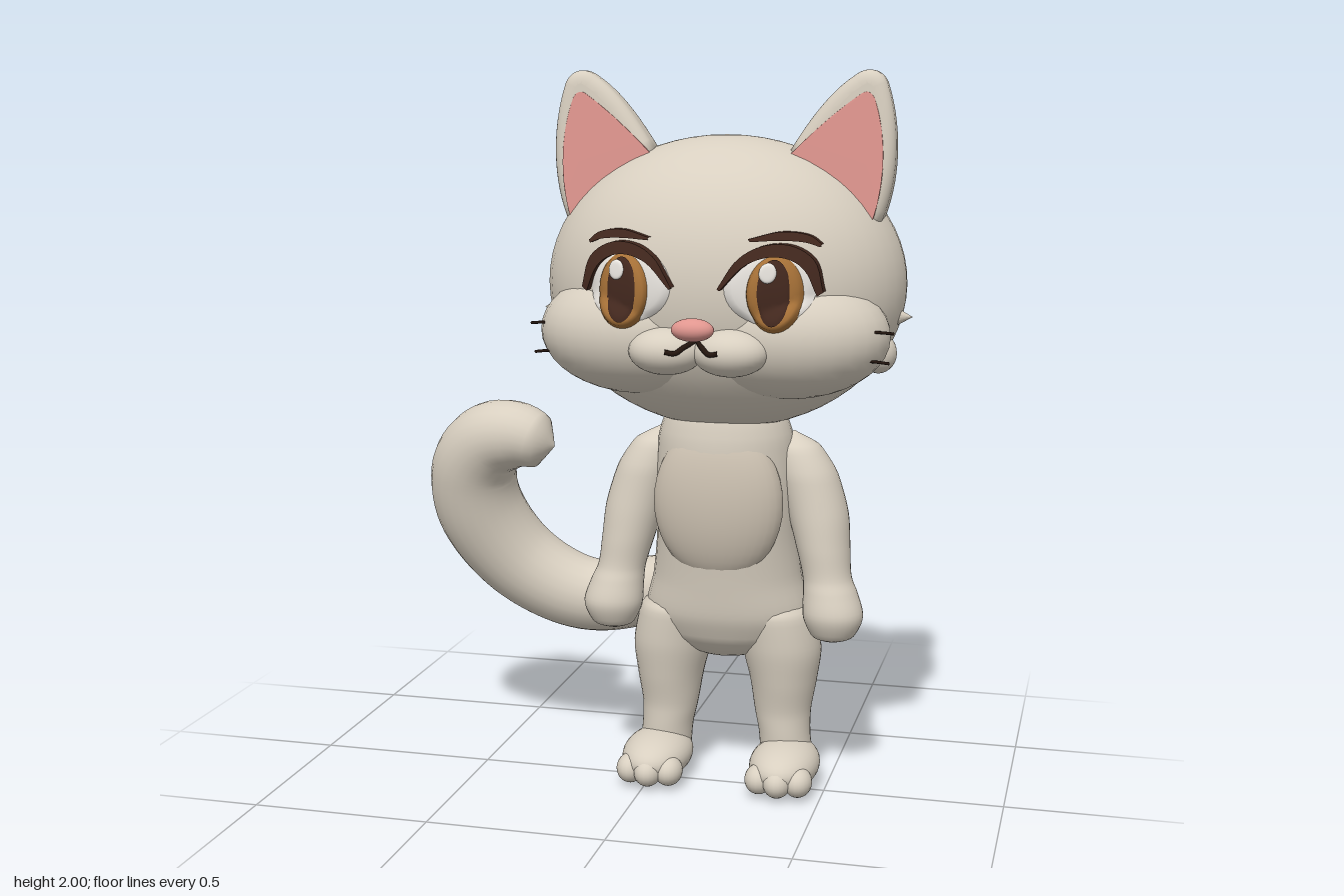
import * as THREE from 'three';
import { mergeVertices, toCreasedNormals } from 'three/addons/utils/BufferGeometryUtils.js';

const material = (name, color, side = THREE.FrontSide) => {
  const m = new THREE.MeshStandardMaterial({ color, side });
  m.name = name;
  return m;
};

// Grid surface from a point rule; columns may wrap into a closed ring
function grid(rows, cols, rule) {
  const pos = [], idx = [];
  for (let i = 0; i <= rows; i++)
    for (let j = 0; j < cols; j++) pos.push(...rule(i / rows, j / cols, j));
  for (let i = 0; i < rows; i++)
    for (let j = 0; j < cols; j++) {
      const k = (j + 1) % cols, a = i * cols, b = a + cols;
      idx.push(a + j, a + k, b + j, a + k, b + k, b + j);
    }
  const g = new THREE.BufferGeometry();
  g.setAttribute('position', new THREE.Float32BufferAttribute(pos, 3));
  g.setIndex(idx);
  g.computeVertexNormals();
  return g;
}

const spline = pts => new THREE.CatmullRomCurve3(pts.map(p => new THREE.Vector3(...p)));

// Stack of ellipses, bottom to top: [y, x, z, radiusX, radiusZ]
function loft(rows) {
  const centre = spline(rows.map(r => [r[1], r[0], r[2]]));
  const size = spline(rows.map(r => [r[3], r[4], 0]));
  return grid(rows.length * 5, 32, (t, u) => {
    const c = centre.getPoint(t), s = size.getPoint(t), a = u * Math.PI * 2;
    return [c.x + Math.max(s.x, 0) * Math.cos(a), c.y, c.z - Math.max(s.y, 0) * Math.sin(a)];
  });
}

function ellipsoid([x, y, z, rx, ry, rz], w = 32, h = 20) {
  return new THREE.SphereGeometry(1, w, h).scale(rx, ry, rz).translate(x, y, z);
}

// Mirrored copy across x = 0 with corner order reversed
function mirror(geo) {
  const g = geo.index ? geo.clone() : mergeVertices(geo);
  const p = g.attributes.position, n = g.attributes.normal, a = g.index.array;
  for (let i = 0; i < p.count; i++) {
    p.setX(i, -p.getX(i));
    n.setX(i, -n.getX(i));
  }
  for (let i = 0; i < a.length; i += 3) [a[i], a[i + 1]] = [a[i + 1], a[i]];
  return g;
}

// Face volumes: x, y, z, then radii
const HEAD = [0, 1.43, -0.04, 0.495, 0.4, 0.36];
const CHEEK = [0.2, 1.31, 0.12, 0.275, 0.17, 0.2];
const MUZZLE = [0.085, 1.28, 0.3, 0.1, 0.062, 0.078];

// Front height of the face at a point
function faceZ(x, y) {
  return Math.max(...[HEAD, CHEEK, MUZZLE].map(([cx, cy, cz, rx, ry, rz]) => {
    const d = 1 - ((Math.abs(x) - cx) / rx) ** 2 - ((y - cy) / ry) ** 2;
    return d > 0 ? cz + rz * Math.sqrt(d) : -1;
  }));
}

// Domed oval that follows the face
const disc = (cx, cy, rx, ry, base, height) => grid(10, 36, (t, u) => {
  const r = 1 - t, a = u * Math.PI * 2;
  const x = cx + rx * r * Math.cos(a), y = cy + ry * r * Math.sin(a);
  return [x, y, faceZ(x, y) + base + height * Math.sqrt(1 - r ** 6)];
});

// Raised strip on the face between an upper and a lower line
function strip(upper, lower, raise) {
  const up = spline(upper.map(p => [...p, 0])), low = spline(lower.map(p => [...p, 0]));
  return toCreasedNormals(grid(24, 4, (t, u, j) => {
    const p = (j < 2 ? low : up).getPoint(t);
    return [p.x, p.y, faceZ(p.x, p.y) + (j === 1 || j === 2 ? raise : -0.01)];
  }), 0.8);
}

// Ear slab, thinner towards the tip
function taper(g) {
  const p = g.attributes.position;
  for (let i = 0; i < p.count; i++) p.setZ(i, p.getZ(i) * (1 - (p.getY(i) - 1.6) * 1.1));
  g.deleteAttribute('normal');
  g.deleteAttribute('uv');
  const m = mergeVertices(g);
  m.computeVertexNormals();
  return m;
}

export function createModel() {
  const fur = material('cream fur', 0xd8cfc0);
  const bellyFur = material('belly fur', 0xcbc0b0);
  const pink = material('pink', 0xe0968f);
  const white = material('eye white', 0xece8e2);
  const amber = material('amber iris', 0xa87238);
  const brown = material('dark brown', 0x43281e, THREE.DoubleSide);
  const black = material('whisker black', 0x24160f);

  const model = new THREE.Group();
  model.name = 'cat';
  const cat = new THREE.Group();
  cat.name = 'catBody';
  cat.position.x = 0.2;
  model.add(cat);
  const add = (name, geo, mat) => {
    const m = new THREE.Mesh(geo, mat);
    m.name = name;
    cat.add(m);
  };
  const pair = (name, geo, mat) => {
    add(name + 'Left', geo, mat);
    add(name + 'Right', mirror(geo), mat);
  };

  // Head
  add('head', ellipsoid(HEAD, 48, 32), fur);
  pair('cheek', ellipsoid(CHEEK), fur);
  pair('muzzle', ellipsoid(MUZZLE), fur);
  add('nose', ellipsoid([0, 1.345, 0.365, 0.056, 0.03, 0.035]), pink);
  pair('cheekTuft', ellipsoid([0.425, 1.25, -0.02, 0.05, 0.055, 0.055], 20, 14), fur);
  pair('cheekPoint', new THREE.ConeGeometry(0.04, 0.07, 16).rotateZ(-Math.PI / 2).translate(0.48, 1.35, -0.02), fur);

  // Ears
  const ear = new THREE.Shape();
  ear.moveTo(0.4, 1.62);
  ear.bezierCurveTo(0.44, 1.72, 0.44, 1.85, 0.405, 1.955);
  ear.quadraticCurveTo(0.395, 1.975, 0.37, 1.955);
  ear.quadraticCurveTo(0.3, 1.91, 0.22, 1.78);
  ear.lineTo(0.27, 1.62);
  pair('ear', taper(new THREE.ExtrudeGeometry(ear, {
    depth: 0.05, bevelSize: 0.035, bevelThickness: 0.04, bevelSegments: 6, curveSegments: 14,
  }).translate(0, 0, -0.025)), fur);
  const inner = new THREE.Shape();
  inner.moveTo(0.41, 1.6);
  inner.bezierCurveTo(0.45, 1.72, 0.44, 1.84, 0.41, 1.925);
  inner.quadraticCurveTo(0.395, 1.955, 0.37, 1.935);
  inner.quadraticCurveTo(0.29, 1.88, 0.19, 1.78);
  inner.lineTo(0.27, 1.62);
  pair('innerEar', taper(new THREE.ExtrudeGeometry(inner, {
    depth: 0.007, bevelEnabled: false, curveSegments: 14,
  }).translate(0, 0, 0.062)), pink);

  // Eyes
  for (const [side, s] of [['Left', 1], ['Right', -1]]) {
    add('eyeWhite' + side, disc(s * 0.185, 1.45, 0.115, 0.095, 0.002, 0.014), white);
    add('iris' + side, disc(s * 0.2, 1.437, 0.075, 0.1, 0, 0.036), amber);
    add('pupil' + side, disc(s * 0.2, 1.44, 0.042, 0.084, 0.034, 0.005), brown);
    add('eyeGlint' + side, disc(s * 0.2 - 0.014, 1.49, 0.022, 0.026, 0.038, 0.006), white);
  }
  pair('eyelash', strip(
    [[0.32, 1.44], [0.297, 1.52], [0.24, 1.558], [0.17, 1.558], [0.11, 1.525], [0.06, 1.45]],
    [[0.305, 1.43], [0.275, 1.495], [0.24, 1.522], [0.19, 1.53], [0.13, 1.51], [0.066, 1.445]], 0.038), brown);
  pair('eyebrow', strip(
    [[0.31, 1.56], [0.28, 1.582], [0.21, 1.592], [0.13, 1.574]],
    [[0.305, 1.553], [0.27, 1.565], [0.21, 1.57], [0.135, 1.567]], 0.025), brown);

  // Mouth and whiskers
  const line = (pts, r) => new THREE.TubeGeometry(spline(pts), 16, r, 8);
  pair('mouth', line([[0, 1.312], [0.025, 1.298], [0.045, 1.284], [0.07, 1.288]]
    .map(([x, y]) => [x, y, faceZ(x, y) + 0.002]), 0.007), black);
  pair('upperWhisker', line([[0.405, 1.333, 0.215], [0.45, 1.333, 0.2], [0.49, 1.328, 0.18]], 0.004), black);
  pair('lowerWhisker', line([[0.38, 1.255, 0.22], [0.43, 1.257, 0.2], [0.48, 1.25, 0.18]], 0.004), black);

  // Torso and belly
  add('torso', loft([
    [0.35, 0, -0.1, 0.001, 0.001], [0.375, 0, -0.1, 0.1, 0.09], [0.43, 0, -0.1, 0.21, 0.145],
    [0.5, 0, -0.095, 0.235, 0.17], [0.6, 0, -0.09, 0.212, 0.18], [0.72, 0, -0.08, 0.2, 0.185],
    [0.86, 0, -0.065, 0.2, 0.178], [1.0, 0, -0.055, 0.19, 0.165], [1.08, 0, -0.05, 0.16, 0.14],
    [1.12, 0, -0.05, 0.001, 0.001],
  ]), fur);
  add('belly', ellipsoid([0, 0.83, 0.045, 0.182, 0.222, 0.088]), bellyFur);

  // Arms with mitten hands
  pair('arm', loft([
    [0.435, 0.312, -0.01, 0.001, 0.001], [0.455, 0.315, -0.01, 0.058, 0.055], [0.52, 0.315, -0.01, 0.084, 0.08],
    [0.58, 0.305, -0.02, 0.075, 0.075], [0.62, 0.295, -0.028, 0.068, 0.07], [0.7, 0.28, -0.045, 0.075, 0.083],
    [0.8, 0.26, -0.06, 0.085, 0.09], [0.9, 0.23, -0.065, 0.085, 0.085], [0.98, 0.2, -0.065, 0.065, 0.06],
    [1.02, 0.19, -0.07, 0.001, 0.001],
  ]), fur);

  // Legs and feet
  pair('leg', loft([
    [0.02, 0.18, -0.08, 0.001, 0.001], [0.05, 0.18, -0.08, 0.075, 0.075], [0.14, 0.172, -0.08, 0.073, 0.08],
    [0.21, 0.165, -0.085, 0.08, 0.086], [0.3, 0.165, -0.09, 0.095, 0.108], [0.4, 0.158, -0.09, 0.112, 0.125],
    [0.5, 0.14, -0.09, 0.11, 0.13], [0.58, 0.12, -0.09, 0.001, 0.001],
  ]), fur);
  pair('foot', ellipsoid([0.185, 0.073, -0.012, 0.098, 0.068, 0.153]), fur);
  for (const [name, dx, z] of [['outerToe', 0.055, 0.085], ['middleToe', 0, 0.105], ['innerToe', -0.055, 0.085]])
    pair(name, ellipsoid([0.185 + dx, 0.055, z, 0.04, 0.042, 0.05], 20, 14), fur);

  // Curling tail: a tube whose radius changes along its path
  const tail = [
    [0, 0.66, -0.25, 0.02], [-0.1, 0.57, -0.27, 0.065], [-0.28, 0.48, -0.28, 0.1], [-0.48, 0.455, -0.28, 0.11],
    [-0.67, 0.55, -0.255, 0.122], [-0.78, 0.72, -0.2, 0.13], [-0.78, 0.86, -0.155, 0.125],
    [-0.71, 0.945, -0.115, 0.112], [-0.62, 0.965, -0.09, 0.097], [-0.55, 0.95, -0.08, 0.075], [-0.51, 0.94, -0.08, 0.002],
  ];
  const path = spline(tail.map(p => p.slice(0, 3)));
  const width = spline(tail.map(p => [p[3], 0, 0]));
  const tube = new THREE.TubeGeometry(path, 70, 1, 24);
  const p = tube.attributes.position, v = new THREE.Vector3();
  for (let i = 0; i < p.count; i++) {
    const u = Math.floor(i / 25) / 70, c = path.getPointAt(u);
    const r = Math.max(width.getPoint(path.getUtoTmapping(u)).x, 0.001);
    v.fromBufferAttribute(p, i).sub(c).multiplyScalar(r).add(c);
    p.setXYZ(i, v.x, v.y, v.z);
  }
  tube.deleteAttribute('uv');
  tube.deleteAttribute('normal');
  const tailSkin = mergeVertices(tube);
  tailSkin.computeVertexNormals();
  add('tail', tailSkin, fur);

  return model;
}
